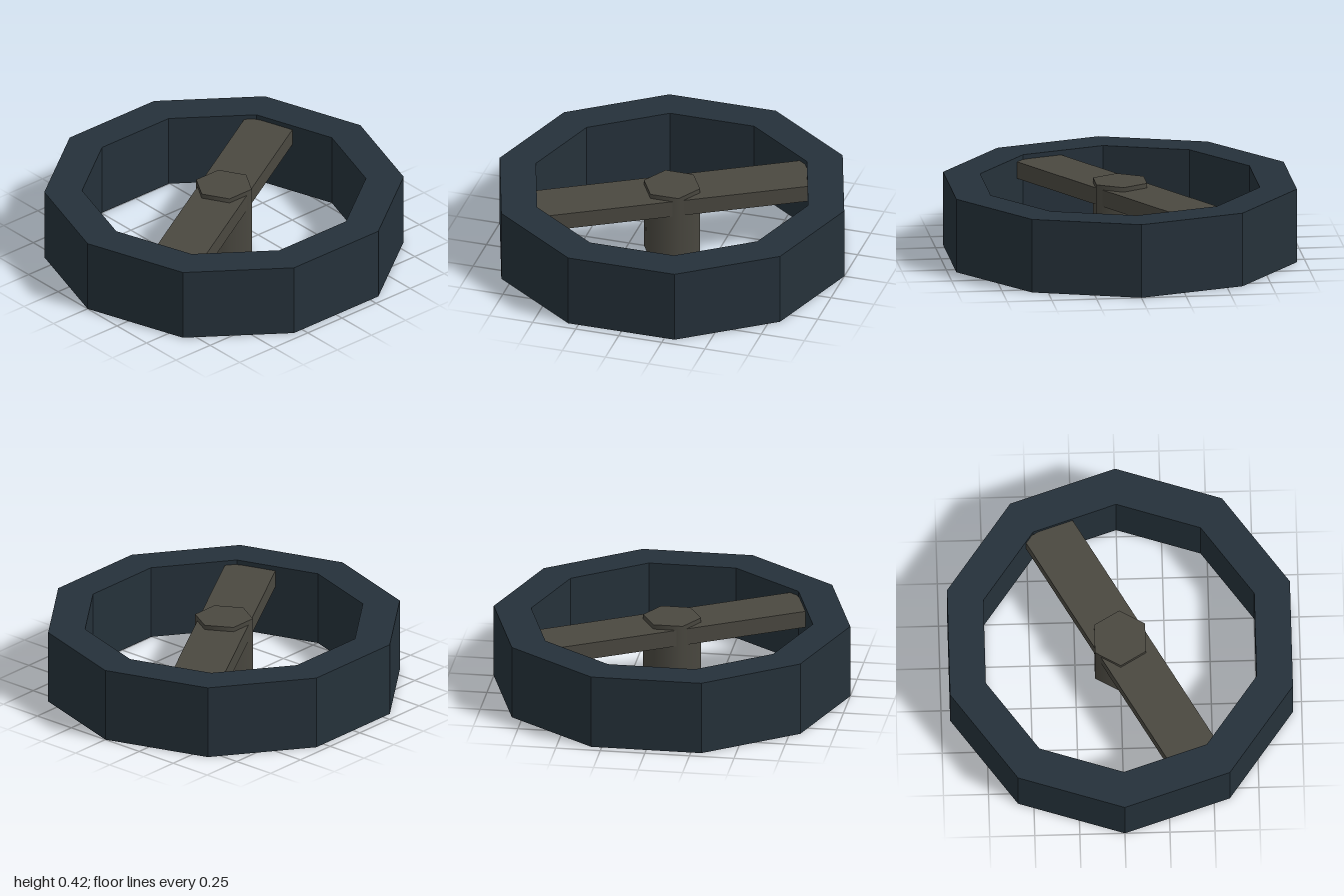
import * as THREE from 'three';

export function createModel() {
  const model = new THREE.Group();
  model.name = 'valveWheel';

  const rimPaint = new THREE.MeshStandardMaterial({ color: 0x25313a, flatShading: true, side: THREE.DoubleSide });
  rimPaint.name = 'dark blue grey';
  const metal = new THREE.MeshStandardMaterial({ color: 0x4a4840, side: THREE.DoubleSide });
  metal.name = 'olive grey metal';

  const add = (parent, name, geometry, material) => {
    const mesh = new THREE.Mesh(geometry, material);
    mesh.name = name;
    parent.add(mesh);
    return mesh;
  };

  // Ten-sided rim: outer wall, top and inner wall, open underneath
  const height = 0.418, outer = 1, inner = 0.79;
  const profile = [[outer, 0], [outer, height], [inner, height], [inner, 0]]
    .map(([r, y]) => new THREE.Vector2(r, y));
  add(model, 'rim', new THREE.LatheGeometry(profile, 10).rotateY(Math.PI / 2), rimPaint);

  // Crossbar: an inverted channel spanning the rim
  const length = 1.56, width = 0.29, top = 0.392, depth = 0.095;
  const crossbar = new THREE.Group();
  crossbar.name = 'crossbar';
  crossbar.rotation.y = Math.PI / 6;
  model.add(crossbar);
  add(crossbar, 'crossbarTop', new THREE.PlaneGeometry(length, width).rotateX(-Math.PI / 2), metal)
    .position.y = top;
  for (const side of [1, -1]) {
    const wall = add(crossbar, 'crossbarSide', new THREE.PlaneGeometry(length, depth), metal);
    wall.position.set(0, top - depth / 2, side * width / 2);
    if (side < 0) wall.rotation.y = Math.PI;
  }

  // Six-sided hub with smooth sides
  add(model, 'hub', new THREE.CylinderGeometry(0.163, 0.163, height, 6).rotateY(Math.PI / 2), metal)
    .position.y = height / 2;

  return model;
}
